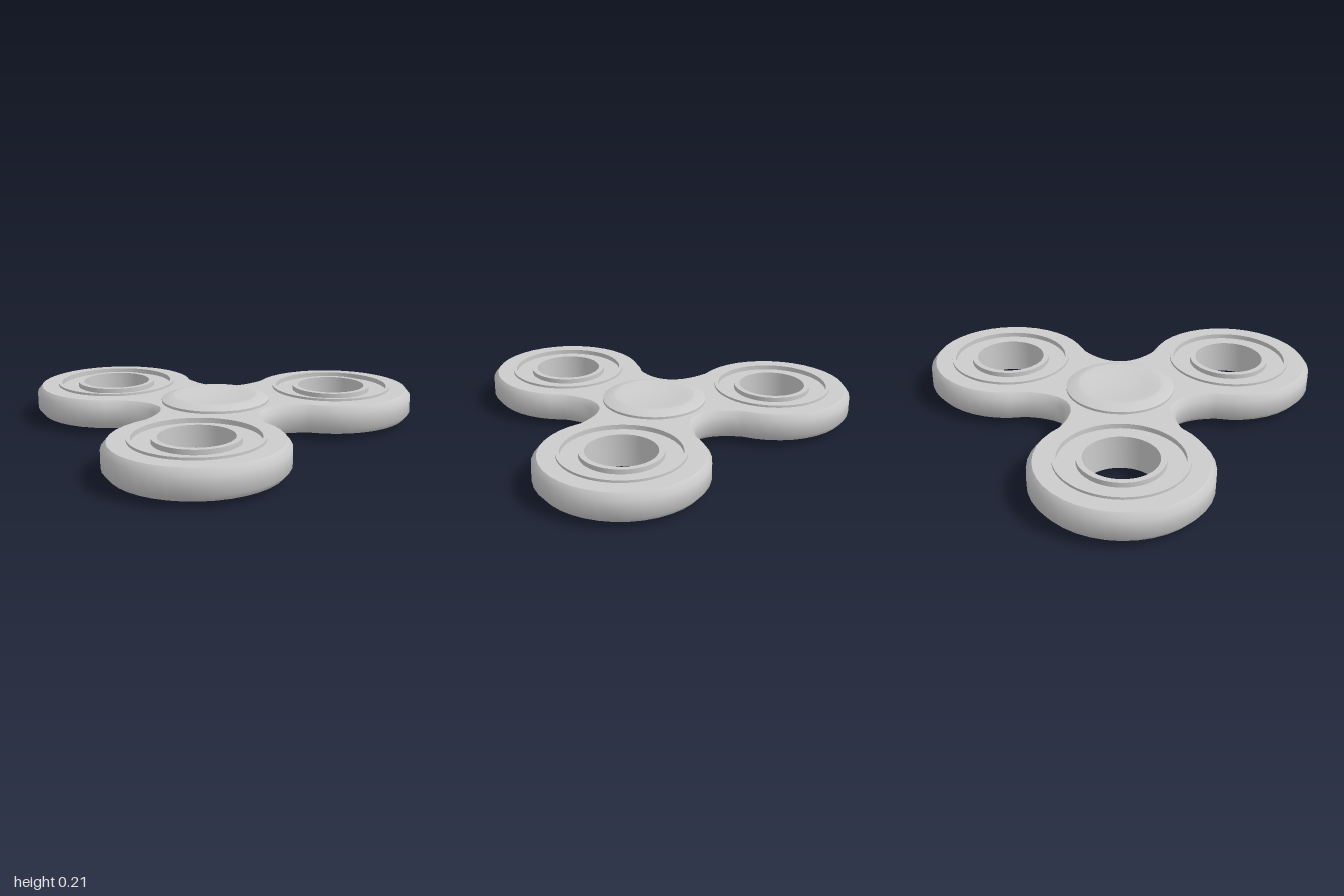
import * as THREE from 'three';
import { toCreasedNormals } from 'three/addons/utils/BufferGeometryUtils.js';

const MID = 0.104;      // height of the symmetry plane
const HUB_X = -0.167;   // hub centre
const REACH = 0.667;    // hub centre to lobe centre
const LOBE_R = 0.42;
const THIRD = (Math.PI * 2) / 3;
const polar = (r, a) => [r * Math.cos(a), r * Math.sin(a)];

// Lathe of a profile given as [radius, height above the middle]
function turned(points, segments, crease) {
  const profile = points.map(([r, y]) => new THREE.Vector2(r, y));
  return toCreasedNormals(new THREE.LatheGeometry(profile, segments), crease);
}

// Three round lobes joined by curved waists, with a hole for each bearing
function bodyGeometry() {
  const shape = new THREE.Shape();
  const sweep = THREE.MathUtils.degToRad(134);
  const first = polar(0.2, -THIRD / 2);
  for (let k = 0; k < 3; k++) {
    const a = k * THIRD;
    const [cx, cy] = polar(REACH, a);
    shape.absarc(cx, cy, LOBE_R, a - sweep, a + sweep, false);
    const [nx, ny] = polar(REACH, a + THIRD);
    const [ex, ey] = polar(LOBE_R, a + THIRD - sweep);
    const [qx, qy] = k < 2 ? polar(0.2, a + THIRD / 2) : first;
    shape.quadraticCurveTo(qx, qy, nx + ex, ny + ey);
    shape.holes.push(new THREE.Path().absarc(cx, cy, 0.28, 0, Math.PI * 2, true));
  }
  const depth = 0.084, bevel = 0.03;
  const geometry = new THREE.ExtrudeGeometry(shape, {
    depth, curveSegments: 14, bevelEnabled: true, bevelSegments: 1,
    bevelSize: 0.025, bevelOffset: -0.025, bevelThickness: bevel,
  });
  geometry.translate(0, 0, -depth / 2);
  geometry.rotateX(-Math.PI / 2);
  return toCreasedNormals(geometry, 0.78);
}

export function createModel() {
  const group = new THREE.Group();
  const material = new THREE.MeshStandardMaterial({ color: 0xcccccc });
  const add = (name, geometry, x = 0, z = 0) => {
    const mesh = new THREE.Mesh(geometry, material);
    mesh.name = name;
    mesh.position.set(HUB_X + x, MID, z);
    group.add(mesh);
  };

  add('body', bodyGeometry());

  // Hub cap with a shallow finger dish on both faces
  const capHalf = [[0.268, 0.084], [0.215, 0.103], [0.2, 0.103], [0.15, 0.095],
    [0.1, 0.09], [0.05, 0.087], [0, 0.086]];
  const capProfile = [...capHalf.map(([r, y]) => [r, -y]).reverse(), ...capHalf];
  add('hubCap', turned(capProfile, 48, 0.6));

  // Bearing: outer race, recessed shield, inner race and open bore
  const raceHalf = [[0.308, 0.084], [0.29, 0.084], [0.29, 0.06],
    [0.202, 0.06], [0.202, 0.084], [0.174, 0.084]];
  const raceProfile = [...raceHalf.map(([r, y]) => [r, -y]).reverse(), ...raceHalf];
  raceProfile.push(raceProfile[0]);
  const bearing = turned(raceProfile, 48, 0.6);
  for (let k = 0; k < 3; k++) add('bearing' + (k + 1), bearing, ...polar(REACH, k * THIRD));

  return group;
}
